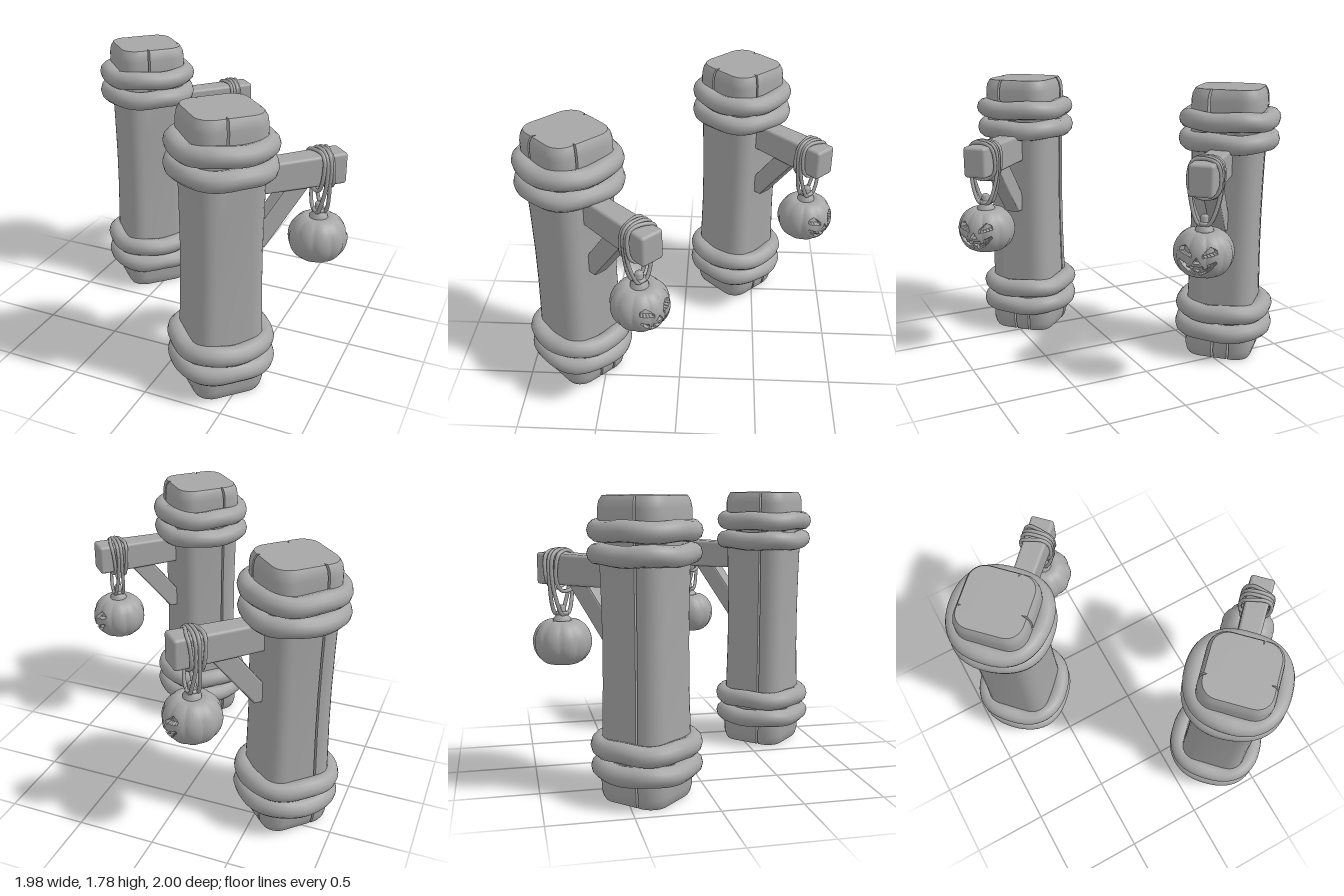
import * as THREE from 'three';
import { toCreasedNormals } from 'three/addons/utils/BufferGeometryUtils.js';
import { RoundedBoxGeometry } from 'three/addons/geometries/RoundedBoxGeometry.js';

const stone = new THREE.MeshStandardMaterial({ color: 0xa6a6a6 });
stone.name = 'plain grey';

function part(name, geometry, parent) {
  const mesh = new THREE.Mesh(geometry, stone);
  mesh.name = name;
  parent.add(mesh);
  return mesh;
}

// Outline of a rounded square, with narrow notch points for the cracks.
// Each notch: face 0..3 (+z, +x, -z, -x), position along it, y range, depth.
const NOTCHES = [
  { face: 0, at: -0.05, y0: 1.5, y1: 2, depth: 0.08 },
  { face: 1, at: -0.09, y0: 1.5, y1: 2, depth: 0.06 },
  { face: 1, at: -0.02, y0: -1, y1: 0.18, depth: 0.03 },
  { face: 1, at: 0.085, y0: -1, y1: 0.18, depth: 0.03 },
  { face: 2, at: 0.085, y0: -1, y1: 2, depth: 0.04 },
];
function postOutline() {
  const half = 0.225, r = 0.11, flat = half - r, w = 0.007, out = [];
  for (let face = 0; face < 4; face++) {
    const turn = (face * Math.PI) / 2;
    const add = (u, v, notch) => out.push({
      x: u * Math.cos(turn) + v * Math.sin(turn),
      z: -u * Math.sin(turn) + v * Math.cos(turn),
      nx: -Math.sin(turn), nz: -Math.cos(turn), notch,
    });
    add(-flat, half);
    for (const n of NOTCHES.filter((k) => k.face === face)) {
      add(n.at - w, half);
      add(n.at, half, n);
      add(n.at + w, half);
    }
    for (let i = 0; i < 6; i++) {
      const a = (i / 6) * Math.PI / 2;
      add(flat + r * Math.sin(a), flat + r * Math.cos(a));
    }
  }
  return out;
}

// Waisted post with worn ends, lofted through [y, scale] levels
function postGeometry() {
  const levels = [[0, 0.001], [0, 0.5], [0, 0.91], [0.02, 0.96], [0.06, 1], [0.16, 1], [0.22, 0.99],
    [0.45, 0.965], [0.7, 0.94], [0.95, 0.935], [1.2, 0.95], [1.4, 0.97], [1.53, 0.99],
    [1.6, 1], [1.71, 1], [1.75, 0.97], [1.78, 0.9], [1.78, 0.5], [1.78, 0.001]];
  const outline = postOutline(), n = outline.length, pos = [], index = [];
  levels.forEach(([y, s], j) => {
    for (const p of outline) {
      const k = p.notch;
      const d = k && s > 0.6 && y >= k.y0 && y <= k.y1 ? k.depth : 0;
      pos.push(p.x * s + p.nx * d, y, p.z * s + p.nz * d);
    }
    if (j === 0) return;
    for (let i = 0; i < n; i++) {
      const a = (j - 1) * n + i, b = (j - 1) * n + ((i + 1) % n);
      index.push(a, b, b + n, a, b + n, a + n);
    }
  });
  const g = new THREE.BufferGeometry();
  g.setAttribute('position', new THREE.Float32BufferAttribute(pos, 3));
  g.setIndex(index);
  return toCreasedNormals(g, 0.6);
}

// Thick, slightly uneven rope ring
function ringGeometry(seed) {
  const pts = [];
  for (let i = 0; i < 24; i++) {
    const a = (i / 24) * Math.PI * 2;
    const r = 0.264 - 0.008 * Math.cos(4 * a) + 0.003 * Math.sin(3 * a + seed);
    pts.push(new THREE.Vector3(r * Math.cos(a), 0.005 * Math.sin(5 * a + seed * 2), r * Math.sin(a)));
  }
  return new THREE.TubeGeometry(new THREE.CatmullRomCurve3(pts, true), 72, 0.062, 12, true);
}

// Carved face test in lateral/vertical pumpkin coordinates
function isCarved(s, y) {
  const u = Math.abs(s);
  const eye = u > 0.035 && u < 0.11 && y > 0.015 + 0.3 * (u - 0.035)
    && y < 0.03 + 1.1 * (u - 0.035) && y < 0.078 - 0.5 * (u - 0.07);
  const nose = y > -0.022 && y < 0.014 && u < (0.014 - y) * 0.6;
  const top = -0.042 + 2.8 * s * s, bottom = -0.095 + 6.6 * s * s, mid = (top + bottom) / 2;
  const tooth = (Math.abs(u - 0.05) < 0.013 && y > mid) || (u < 0.014 && y < mid);
  return eye || nose || (y > bottom && y < top && !tooth);
}

// Ribbed pumpkin facing +x; columns crowd together around the face
function pumpkinGeometry() {
  const g = new THREE.SphereGeometry(1, 144, 84);
  const p = g.attributes.position, uv = g.attributes.uv;
  for (let i = 0; i < p.count; i++) {
    const t = (uv.getX(i) - 0.5) * Math.PI * 2, phi = t - 0.55 * Math.sin(t);
    const theta = (1 - uv.getY(i)) * Math.PI, sn = Math.max(0, Math.sin(theta));
    const dimple = 1 - 0.2 * Math.exp(-((sn / 0.3) ** 2));
    const rib = 0.94 + 0.06 * Math.pow(Math.abs(Math.cos(5 * phi)), 0.6);
    let r = 0.182 * Math.pow(sn, 0.8) * rib, y = 0.153 * Math.cos(theta) * dimple;
    if (Math.cos(phi) > 0.2 && isCarved(r * Math.sin(phi), y)) r *= 0.82;
    p.setXYZ(i, r * Math.cos(phi), y, -r * Math.sin(phi));
  }
  return toCreasedNormals(g, 0.7);
}

// Thin cord through a closed list of [along, y, across] points
function cordGeometry(points) {
  const curve = new THREE.CatmullRomCurve3(points.map((q) => new THREE.Vector3(...q)), true, 'centripetal');
  return new THREE.TubeGeometry(curve, 80, 0.012, 8, true);
}

// Cord wound round the arm
function wrap(d, tilt, low) {
  return cordGeometry([[d + tilt, 1.435, 0.05], [d + tilt, 1.4, 0.088], [d, 1.26, 0.09], [d, low, 0.045],
    [d, low, -0.045], [d, 1.26, -0.09], [d - tilt, 1.4, -0.088], [d - tilt, 1.435, -0.05]]);
}

// Long loop from the arm down to the stem
function hanger(d, d2) {
  return cordGeometry([[d, 1.44, 0.05], [d, 1.4, 0.09], [d, 1.24, 0.092], [d2, 1.09, 0.055], [d2, 1.05, 0.03],
    [d2, 1.05, -0.03], [d2, 1.09, -0.055], [d, 1.24, -0.092], [d, 1.4, -0.09], [d, 1.44, -0.05]]);
}

// Beam, a little slimmer toward the post
function armGeometry() {
  const g = new RoundedBoxGeometry(0.6, 0.195, 0.155, 3, 0.02);
  const p = g.attributes.position;
  for (let i = 0; i < p.count; i++) {
    const k = 0.93 + 0.07 * (p.getX(i) / 0.3);
    p.setY(i, p.getY(i) * (0.5 + k / 2));
    p.setZ(i, p.getZ(i) * k);
  }
  return g;
}

// Diagonal strut under the beam
function braceGeometry() {
  const s = new THREE.Shape([[0.18, 0.89], [0.26, 0.89], [0.55, 1.26], [0.39, 1.26], [0.18, 0.99]]
    .map((q) => new THREE.Vector2(...q)));
  return new THREE.ExtrudeGeometry(s, {
    depth: 0.08, bevelEnabled: true, bevelThickness: 0.012, bevelSize: 0.012, bevelOffset: -0.012, bevelSegments: 2,
  }).translate(0, 0, -0.04);
}

function lampPost() {
  const post = new THREE.Group();
  part('post', postGeometry(), post);
  [0.2, 0.33, 1.452, 1.585].forEach((y, i) => {
    part('ropeRing', ringGeometry(i * 1.7), post).position.y = y;
  });
  part('arm', armGeometry(), post).position.set(0.468, 1.33, 0);
  part('brace', braceGeometry(), post);

  const d = 0.635;
  part('cordWrap', wrap(d - 0.04, 0.01, 1.2), post);
  part('cordWrap', wrap(d + 0.035, -0.012, 1.215), post);
  part('hangingCord', hanger(d - 0.012, d - 0.025), post);
  part('hangingCord', hanger(d + 0.012, d + 0.025), post);

  const pumpkin = new THREE.Group();
  pumpkin.name = 'pumpkin';
  pumpkin.position.set(d, 0.875, 0);
  post.add(pumpkin);
  part('pumpkinBody', pumpkinGeometry(), pumpkin);
  const profile = [[0.06, 0.11], [0.055, 0.145], [0.036, 0.165], [0.024, 0.19], [0.027, 0.215], [0.018, 0.228], [0, 0.23]];
  part('stem', new THREE.LatheGeometry(profile.map((q) => new THREE.Vector2(...q)), 14), pumpkin);
  const knot = part('stemCord', new THREE.TorusGeometry(0.032, 0.011, 8, 20), pumpkin);
  knot.rotation.x = Math.PI / 2;
  knot.position.y = 0.178;
  return post;
}

export function createModel() {
  const model = new THREE.Group();
  model.name = 'pumpkinPosts';
  const first = lampPost();
  first.name = 'backPost';
  first.position.set(-0.655, 0, -0.37);
  first.rotation.y = Math.PI / 4;
  const second = first.clone();
  second.name = 'frontPost';
  second.position.set(0.355, 0, 0.663);
  model.add(first, second);
  return model;
}
